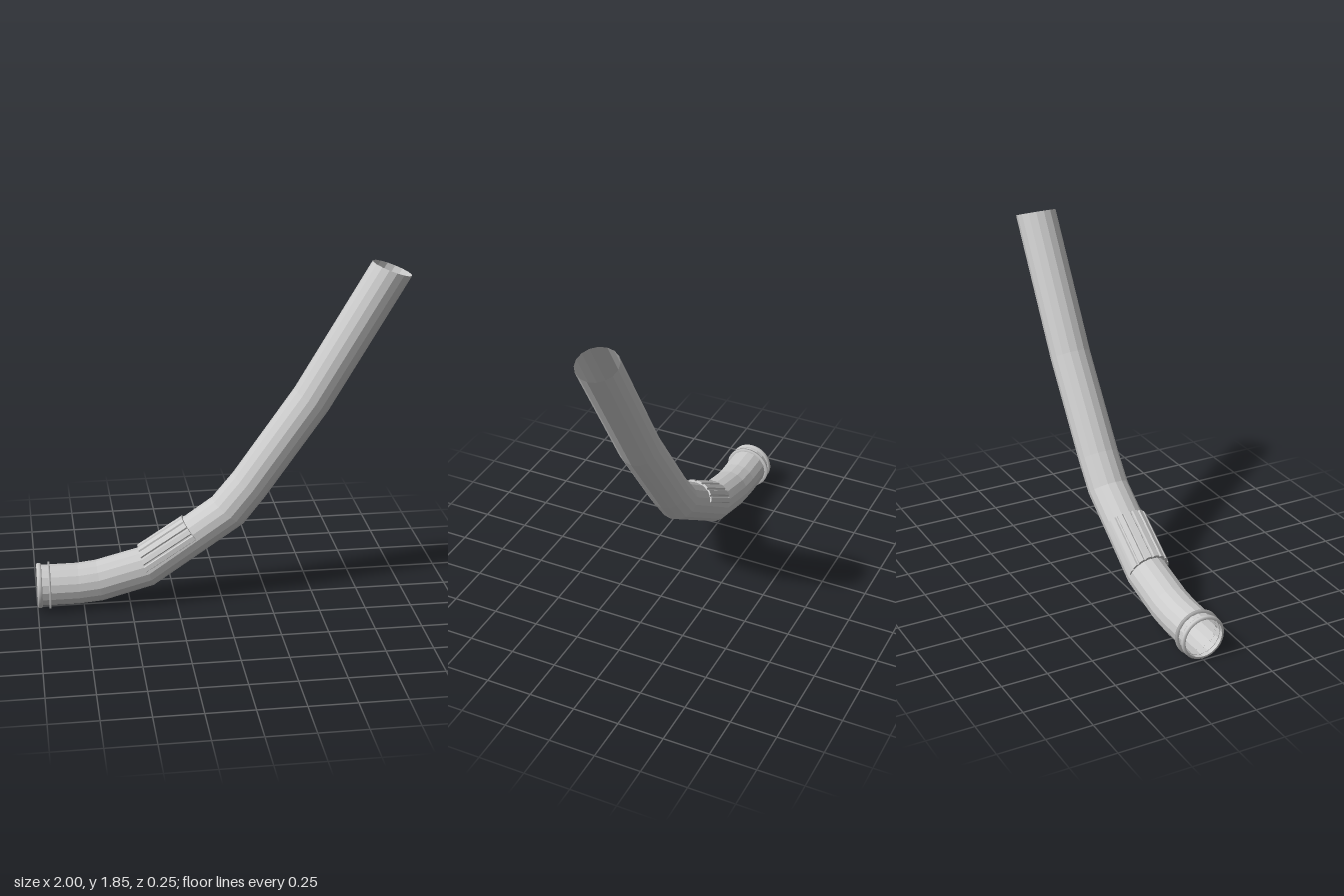
import * as THREE from 'three';

const flat = new THREE.MeshStandardMaterial({ color: 0xcccccc, flatShading: true, side: THREE.DoubleSide });
const smooth = new THREE.MeshStandardMaterial({ color: 0xcccccc, side: THREE.DoubleSide });

// Skin between equal-length rows of points
function loft(rows) {
  const n = rows[0].length, index = [];
  for (let i = 0; i < rows.length - 1; i++) {
    for (let j = 0; j < n - 1; j++) {
      const a = i * n + j, b = a + n;
      index.push(a, a + 1, b, a + 1, b + 1, b);
    }
  }
  const g = new THREE.BufferGeometry();
  g.setAttribute('position', new THREE.Float32BufferAttribute(rows.flat(2), 3));
  g.setIndex(index);
  g.computeVertexNormals();
  return g;
}

function addMesh(group, name, geometry, material) {
  const m = new THREE.Mesh(geometry, material);
  m.name = name;
  group.add(m);
  return m;
}

export function createModel() {
  const group = new THREE.Group();
  group.name = 'bentTube';

  // Tube: upper and lower edge [x, y] of each cross-section
  const stations = [
    [[-0.995, 0.238], [-0.995, 0.018]],
    [[-0.78, 0.238], [-0.78, 0.018]],
    [[-0.68, 0.25], [-0.65, 0.028]],
    [[-0.435, 0.312], [-0.37, 0.103]],
    [[-0.05, 0.58], [0.12, 0.438]],
    [[0.064, 0.717], [0.235, 0.585]],
    [[0.39, 1.18], [0.57, 1.06]],
    [[0.79, 1.855], [0.995, 1.78]],
  ];
  const sides = 16, radius = 0.11;
  const rows = stations.map(([t, b]) => Array.from({ length: sides + 1 }, (_, k) => {
    const a = (k / sides) * Math.PI * 2, c = Math.cos(a) / 2;
    return [
      (t[0] + b[0]) / 2 + (t[0] - b[0]) * c,
      (t[1] + b[1]) / 2 + (t[1] - b[1]) * c,
      radius * Math.sin(a),
    ];
  }));
  addMesh(group, 'tube', loft(rows), flat);

  // Collar and thin ring around the lower mouth
  const ring = (name, x, profile) => {
    const pts = profile.map(([r, h]) => new THREE.Vector2(r, h));
    const m = addMesh(group, name, new THREE.LatheGeometry(pts, 32), smooth);
    m.rotation.z = -Math.PI / 2;
    m.position.set(x, 0.127, 0);
  };
  ring('collar', -0.987, [[0.106, -0.013], [0.116, -0.013], [0.121, -0.006], [0.121, 0.006], [0.116, 0.013], [0.106, 0.013]]);
  ring('thinRing', -0.933, [[0.108, -0.005], [0.126, -0.005], [0.126, 0.005], [0.108, 0.005]]);

  // Ribbed grip over the upper half: scale steps up and down around the arc
  const ribs = 8, arc = [];
  for (let i = 0; i < ribs; i++) {
    [[0, 0.93], [0.12, 1], [0.72, 1], [0.84, 0.93]].forEach(([f, s]) => arc.push([((i + f) / ribs) * Math.PI, s]));
  }
  arc.push([Math.PI, 0.93]);
  const gripRow = (c, up, k) => arc.map(([a, s]) => [
    c[0] + up[0] * Math.sin(a) * s * k,
    c[1] + up[1] * Math.sin(a) * s * k,
    0.004 + 0.117 * Math.cos(a) * s * k,
  ]);
  const low = [[-0.42, 0.22], [-0.035, 0.105]];
  const high = [[-0.15, 0.395], [-0.065, 0.085]];
  addMesh(group, 'ribbedGrip', loft([
    gripRow(...low, 0.86), gripRow(...low, 1), gripRow(...high, 1), gripRow(...high, 0.86),
  ]), flat);

  return group;
}
